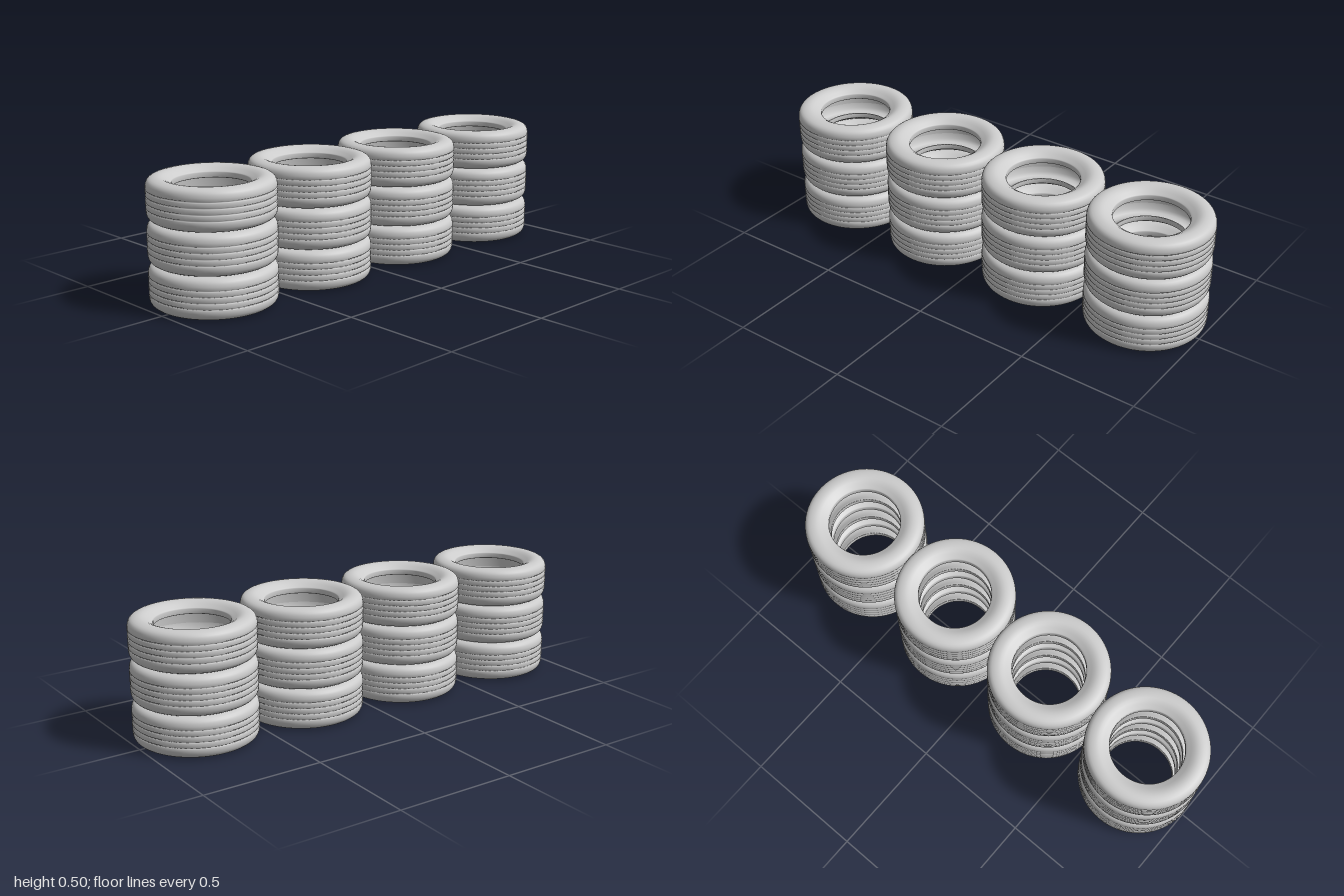
import * as THREE from 'three';

const HEIGHT = 0.168;  // one tyre lying flat
const RADIUS = 0.25;
const HALF = HEIGHT / 2;

// Closed cross-section of a tyre, as (radius, height above mid-plane)
function tyreProfile() {
  const upper = [];
  // tread with two shallow grooves per half
  for (const g of [0.012, 0.036]) {
    upper.push([RADIUS, g - 0.004], [RADIUS - 0.004, g - 0.002],
      [RADIUS - 0.004, g + 0.002], [RADIUS, g + 0.004]);
  }
  upper.push(
    // shoulder
    [0.249, 0.052], [0.247, 0.061], [0.243, 0.069], [0.237, 0.075], [0.229, 0.0795],
    // sidewall, dipping towards the bead
    [0.218, 0.0825], [0.206, HALF], [0.194, 0.083], [0.182, 0.079], [0.17, 0.072], [0.159, 0.064],
    // bead
    [0.153, 0.0605], [0.15, 0.057], [0.15, 0.038], [0.153, 0.036],
    // hollow inside
    [0.165, 0.046], [0.18, 0.056], [0.2, 0.064], [0.218, 0.06], [0.229, 0.048], [0.233, 0.025]
  );
  const lower = upper.map(([r, y]) => [r, -y]).reverse();
  const loop = [...lower, ...upper, lower[0]];
  return loop.map(([r, y]) => new THREE.Vector2(r, y));
}

export function createModel() {
  const model = new THREE.Group();
  model.name = 'tyreWall';
  const material = new THREE.MeshStandardMaterial({ color: 0xcccccc, side: THREE.DoubleSide });
  const tyre = new THREE.LatheGeometry(tyreProfile(), 72);

  // Four touching stacks of three tyres
  for (let s = 0; s < 4; s++) {
    const stack = new THREE.Group();
    stack.name = `tyreStack${s + 1}`;
    stack.position.x = (s - 1.5) * 2 * RADIUS;
    for (let t = 0; t < 3; t++) {
      const mesh = new THREE.Mesh(tyre, material);
      mesh.name = `tyre${t + 1}`;
      mesh.position.y = HALF + t * HEIGHT;
      stack.add(mesh);
    }
    model.add(stack);
  }
  return model;
}
